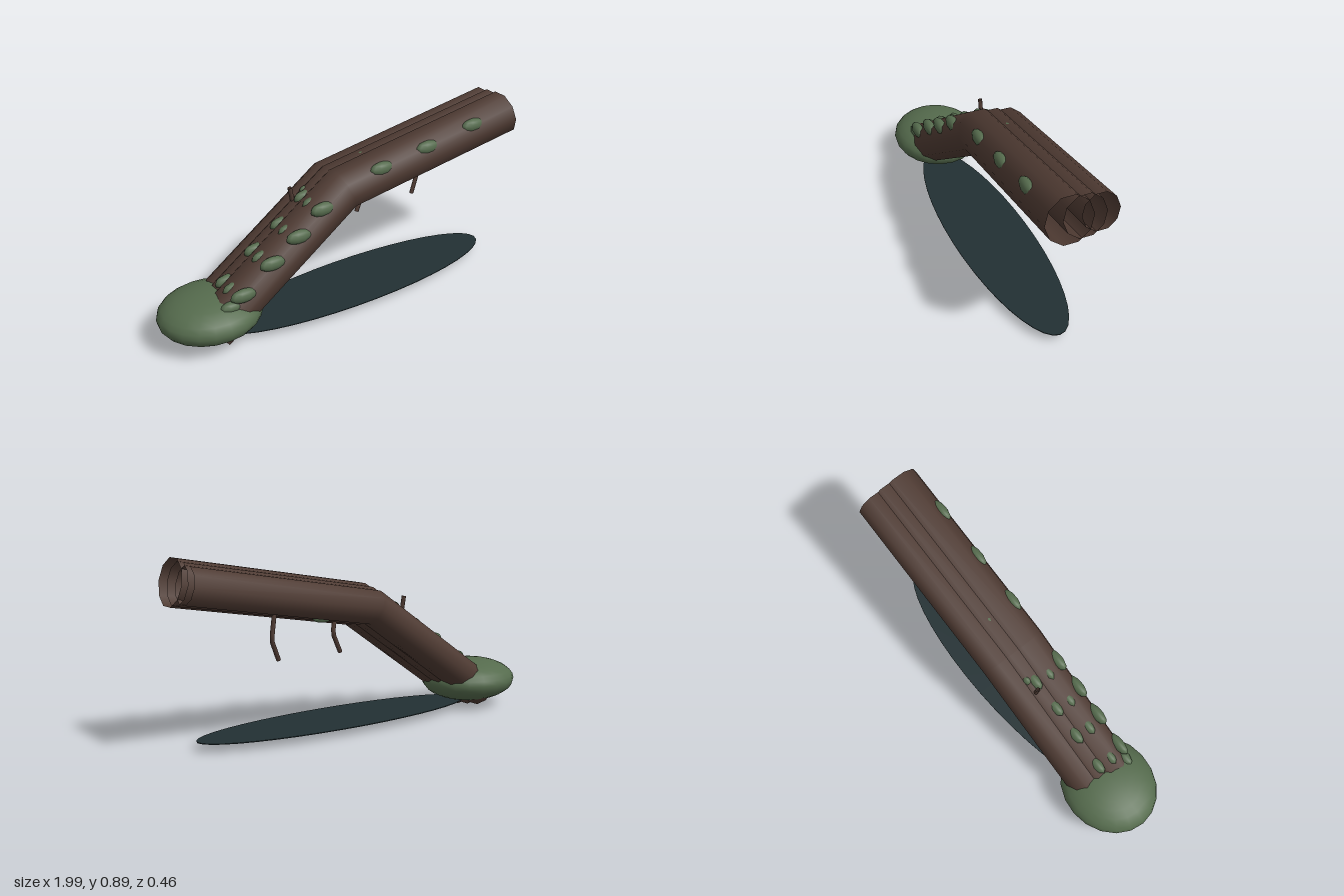
import * as THREE from 'three';

export function createModel() {
  const group = new THREE.Group();
  group.name = 'fallenLog';

  const bark = new THREE.MeshStandardMaterial({ color: 0x4e3a32, side: THREE.DoubleSide });
  bark.name = 'bark';
  const moss = new THREE.MeshStandardMaterial({ color: 0x556b4d });
  moss.name = 'moss';
  const water = new THREE.MeshStandardMaterial({ color: 0x223033 });
  water.name = 'darkWater';

  const add = (name, geometry, material) => {
    const mesh = new THREE.Mesh(geometry, material);
    mesh.name = name;
    group.add(mesh);
    return mesh;
  };

  // Open tube through centre points [x, y, z, tilt]; each ring is tilted in the xy plane
  const SIDES = 10;
  function bentTube(rings, radius) {
    const positions = [], index = [];
    rings.forEach(([x, y, z, tilt], i) => {
      for (let j = 0; j < SIDES; j++) {
        const a = (j / SIDES) * Math.PI * 2;
        const up = radius * Math.sin(a);
        positions.push(x - up * Math.sin(tilt), y + up * Math.cos(tilt), z + radius * Math.cos(a));
        if (i === rings.length - 1) continue;
        const k = (j + 1) % SIDES;
        const p = i * SIDES + j, q = i * SIDES + k;
        index.push(p, p + SIDES, q + SIDES, p, q + SIDES, q);
      }
    });
    const g = new THREE.BufferGeometry();
    g.setAttribute('position', new THREE.Float32BufferAttribute(positions, 3));
    g.setIndex(index);
    g.computeVertexNormals();
    return g;
  }

  // Three hollow trunks lying side by side, bent in the middle
  [[0.065, 0.115], [-0.007, 0.1025], [-0.08, 0.09]].forEach(([z, r], i) => {
    add(`trunk${i + 1}`, bentTube([
      [-0.762, 0.098, z, 0.602],
      [-0.01, 0.615, z - 0.028, 0.388],
      [0.975, 0.789, z, 0.175],
    ], r), bark);
  });

  // Ellipsoid helper for moss
  function ellipsoid(name, [x, y, z], [rx, ry, rz], w, h) {
    const mesh = add(name, new THREE.SphereGeometry(1, w, h), moss);
    mesh.position.set(x, y, z);
    mesh.scale.set(rx, ry, rz);
  }
  ellipsoid('mossMound', [-0.74, 0.15, 0.0], [0.26, 0.112, 0.232], 20, 14);

  // Three rows of moss tufts along the trunks
  const tufts = [
    [-0.63, 0.28, 0.145], [-0.465, 0.395, 0.138], [-0.315, 0.49, 0.133], [-0.17, 0.588, 0.12],
    [0.17, 0.708, 0.12], [0.44, 0.753, 0.128], [0.72, 0.805, 0.135],
  ];
  for (let row = 0; row < 3; row++) {
    tufts.forEach(([x, y, z], i) => {
      ellipsoid(`mossTuft${row + 1}_${i + 1}`, [x, y, z - 0.076 * row], [0.07, 0.035, 0.029], 10, 8);
    });
  }
  ellipsoid('mossTuftBase', [-0.69, 0.232, 0.135], [0.06, 0.03, 0.029], 10, 8);
  ellipsoid('mossTuftTop', [-0.16, 0.6, -0.062], [0.03, 0.03, 0.02], 10, 8);
  ellipsoid('mossTuftUnder', [0.25, 0.582, -0.068], [0.06, 0.025, 0.02], 10, 8);

  // Broken twigs, each made of straight pieces
  const twigs = [
    [[0.16, 0.64, -0.05], [0.193, 0.5, -0.065], [0.14, 0.4, -0.05]],
    [[0.505, 0.66, -0.05], [0.535, 0.5, -0.065], [0.49, 0.4, -0.05]],
    [[-0.245, 0.645, -0.06], [-0.225, 0.53, -0.06]],
  ];
  twigs.forEach((points, i) => {
    const path = new THREE.CurvePath();
    const v = points.map((p) => new THREE.Vector3(...p));
    for (let k = 1; k < v.length; k++) path.add(new THREE.LineCurve3(v[k - 1], v[k]));
    add(`twig${i + 1}`, new THREE.TubeGeometry(path, 8, 0.011, 6), bark);
  });

  // Thin oval pool under the log
  const pool = add('pool', new THREE.CylinderGeometry(1, 1, 0.004, 40), water);
  pool.position.set(0.08, 0.048, 0.03);
  pool.scale.set(0.8, 1, 0.202);

  return group;
}
